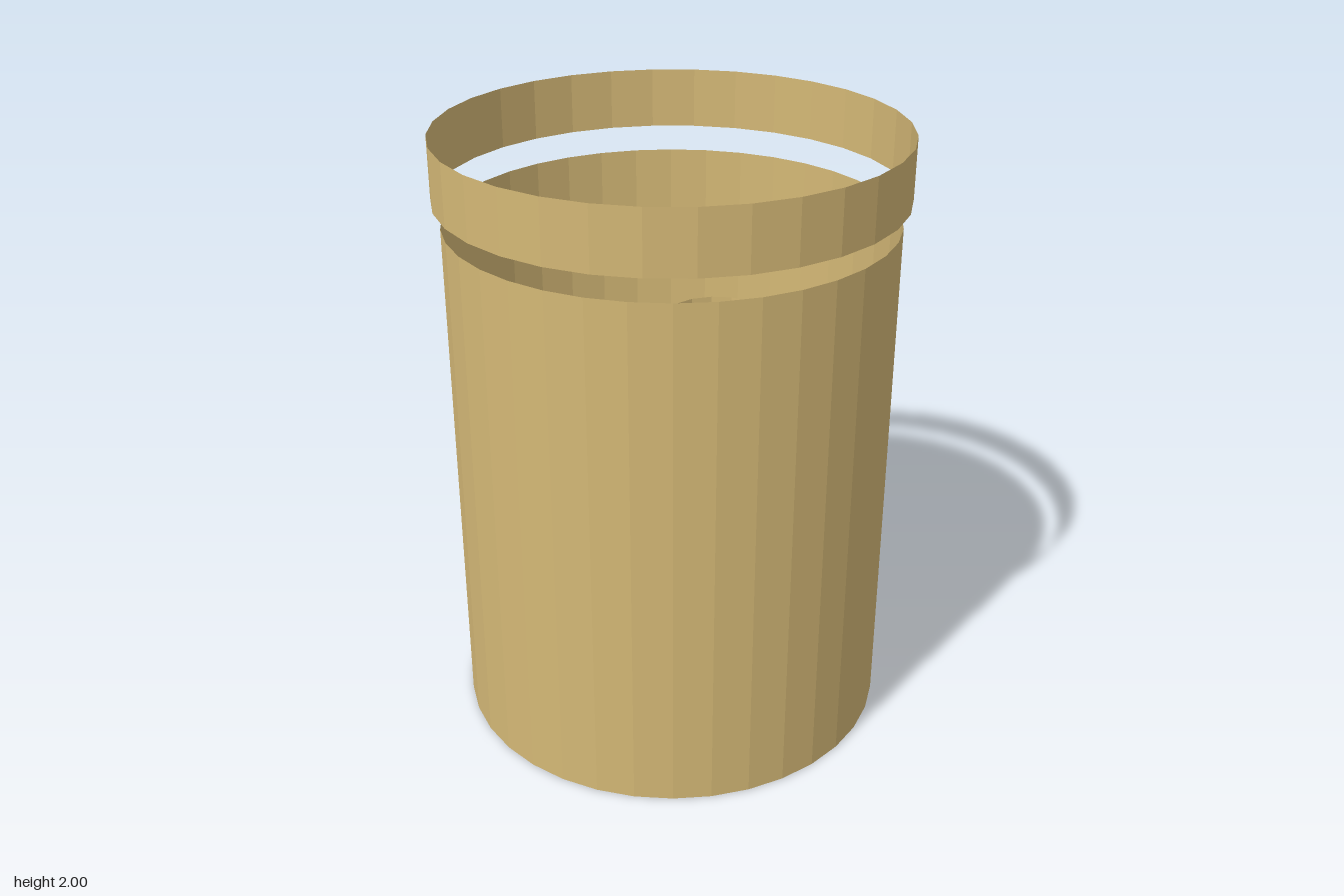
import * as THREE from 'three';

export function createModel() {
  const group = new THREE.Group();
  const material = new THREE.MeshStandardMaterial({
    color: 0xd4b876, flatShading: true, side: THREE.DoubleSide,
  });

  // Upright open-ended sleeve spanning the heights from bottom to top
  function sleeve(name, radius, bottom, top, sides, x = 0, z = 0) {
    const geometry = new THREE.CylinderGeometry(radius, radius, top - bottom, sides, 1, true);
    const mesh = new THREE.Mesh(geometry, material);
    mesh.name = name;
    mesh.position.set(x, (bottom + top) / 2, z);
    group.add(mesh);
  }

  // Tall container wall
  sleeve('body', 0.72, 0, 1.72, 36);
  // Slightly wider band floating above the body
  sleeve('lidBand', 0.745, 1.8, 2, 32);
  // Small ring held inside the body
  sleeve('innerRing', 0.18, 1.2, 1.3, 16, 0, -0.24);

  return group;
}
